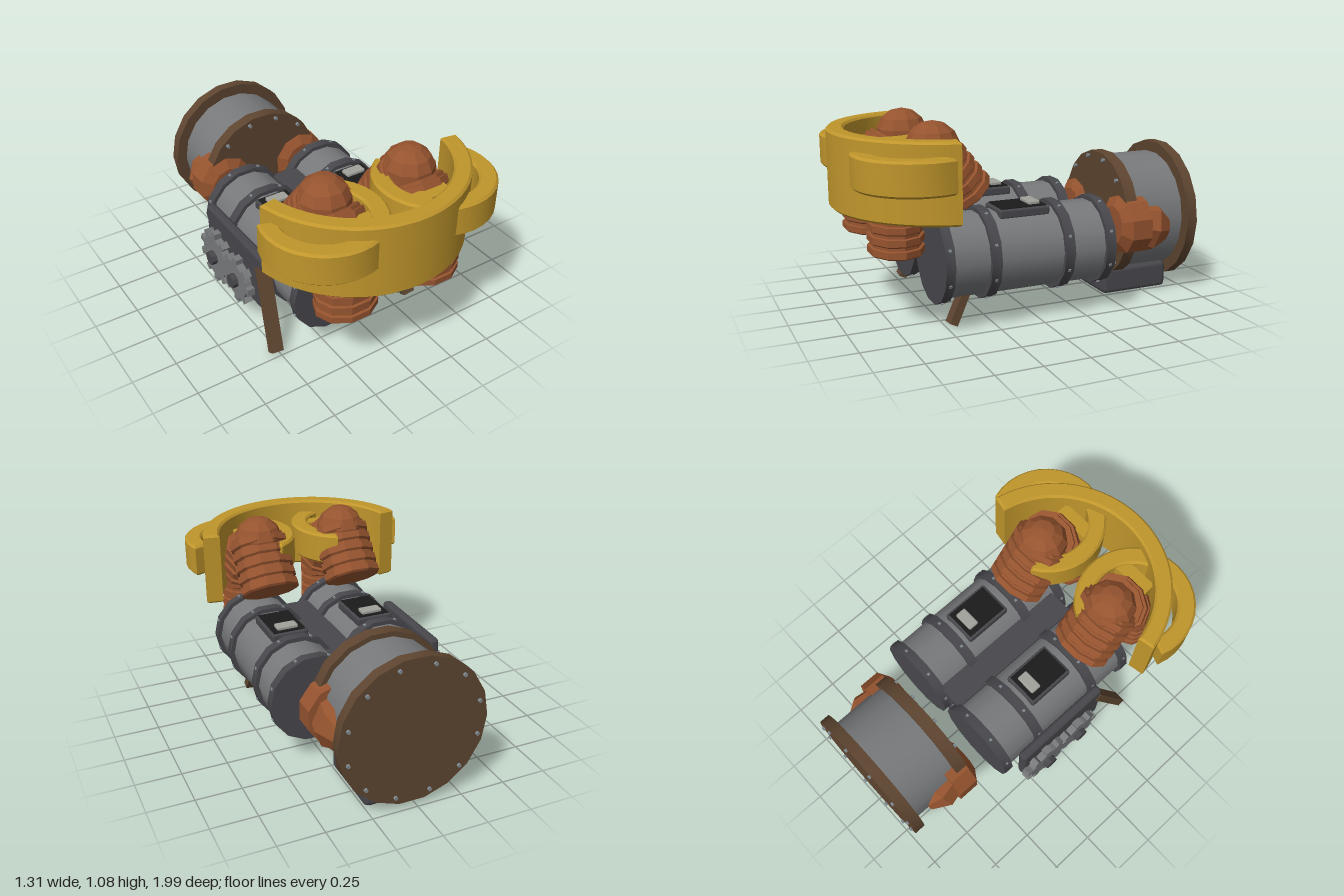
import * as THREE from 'three';
import { toCreasedNormals } from 'three/addons/utils/BufferGeometryUtils.js';
import { RoundedBoxGeometry } from 'three/addons/geometries/RoundedBoxGeometry.js';

const mat = (name, color) => Object.assign(new THREE.MeshStandardMaterial({ color }), { name });
const yellow = mat('yellow', 0xc0962c);
const copper = mat('copper', 0x96542f);
const steel = mat('steel', 0x77797b);
const dark = mat('darkIron', 0x48474c);
const brown = mat('brown', 0x5e4530);
const black = mat('black', 0x1b1b1c);
const pale = mat('paleGrey', 0xa2a29c);
const boltGrey = mat('boltGrey', 0x7f898f);

function add(parent, name, geo, material, x = 0, y = 0, z = 0) {
  const m = new THREE.Mesh(geo, material);
  m.name = name;
  m.position.set(x, y, z);
  parent.add(m);
  return m;
}

const crease = (geo, angle = 0.6) => toCreasedNormals(geo, angle);
const chamferBox = (w, h, d, c) => new RoundedBoxGeometry(w, h, d, 1, c);

// Cylinder lying along z between two depths
function cylZ(parent, name, r, z0, z1, sides, material, x, y) {
  const g = new THREE.CylinderGeometry(r, r, Math.abs(z1 - z0), sides);
  g.rotateY(Math.PI / sides).rotateX(Math.PI / 2);
  return add(parent, name, crease(g), material, x, y, (z0 + z1) / 2);
}

// Faceted lathe from [radius, height] pairs
const lathe = (pts, sides) =>
  crease(new THREE.LatheGeometry(pts.map(p => new THREE.Vector2(...p)), sides), 0.3);

// Ridged sleeve running from point a to point b
function bellows(parent, name, a, b, ridges) {
  const len = a.distanceTo(b), step = len / ridges, pts = [[0, 0]];
  for (let i = 0; i < ridges; i++) {
    const y = i * step;
    pts.push([0.16, y], [0.175, y + step * 0.15], [0.175, y + step * 0.7], [0.158, y + step * 0.75], [0.158, y + step]);
  }
  pts.push([0, len]);
  const g = lathe(pts, 10);
  g.rotateY(Math.PI / 2).scale(1, 1, 0.82);
  const m = add(parent, name, crease(g, 0.3), copper, a.x, a.y, a.z);
  m.quaternion.setFromUnitVectors(new THREE.Vector3(0, 1, 0), b.clone().sub(a).normalize());
}

// Flat horizontal band following an arc in the x-z plane
function arcBand(parent, name, rOut, rIn, a0, a1, yTop, height, segs, x, z) {
  const s = new THREE.Shape();
  s.absarc(0, 0, rOut, a0, a1, false);
  s.absarc(0, 0, rIn, a1, a0, true);
  s.closePath();
  const c = 0.012;
  const g = new THREE.ExtrudeGeometry(s, {
    depth: height - 2 * c, bevelThickness: c, bevelSize: c, bevelOffset: -c, bevelSegments: 1, curveSegments: segs,
  });
  g.rotateX(Math.PI / 2);
  return add(parent, name, crease(g, 0.5), yellow, x, yTop - c, z);
}

// Toothed wheel facing -x
function gear(parent, r, teeth, y, z) {
  const s = new THREE.Shape(), step = Math.PI * 2 / teeth;
  for (let i = 0; i < teeth; i++) {
    for (const [k, rad] of [[-0.5, 0.77], [-0.22, 0.77], [-0.2, 1], [0.2, 1], [0.22, 0.77]]) {
      const a = (i + k) * step - Math.PI / 2;
      const p = [Math.cos(a) * rad * r, Math.sin(a) * rad * r];
      if (s.curves.length || s.currentPoint.lengthSq()) s.lineTo(...p); else s.moveTo(...p);
    }
  }
  s.closePath();
  const g = new THREE.ExtrudeGeometry(s, { depth: 0.045, bevelEnabled: false });
  g.rotateY(-Math.PI / 2);
  add(parent, 'gear', g, steel, -0.498, y, z);
  const hub = new THREE.CylinderGeometry(0.04, 0.04, 0.08, 8);
  hub.rotateZ(Math.PI / 2);
  add(parent, 'gearHub', crease(hub), dark, -0.535, y, z);
}

// Square bar between two points
function bar(parent, name, a, b, w, d) {
  const m = add(parent, name, new THREE.BoxGeometry(w, a.distanceTo(b), d), brown);
  m.position.copy(a).add(b).multiplyScalar(0.5);
  m.quaternion.setFromUnitVectors(new THREE.Vector3(0, 1, 0), b.clone().sub(a).normalize());
}

const V = (x, y, z) => new THREE.Vector3(x, y, z);

export function createModel() {
  const root = new THREE.Group();
  root.name = 'machine';

  // Twin tanks with bands, studs and hatches
  for (const x of [-0.21, 0.30]) {
    const tank = new THREE.Group();
    tank.name = 'tank';
    root.add(tank);
    const y = 0.372;
    cylZ(tank, 'tankBody', 0.222, -0.39, 0.55, 14, steel, x, y);
    for (const [z0, z1] of [[0.51, 0.56], [0.26, 0.315], [-0.155, -0.1], [-0.4, -0.345]]) {
      cylZ(tank, 'tankBand', 0.245, z0, z1, 14, dark, x, y);
      for (let i = 0; i < 8; i++) {
        const a = (i + 0.5) * Math.PI / 4;
        add(tank, 'bandStud', new THREE.BoxGeometry(0.014, 0.014, 0.014), boltGrey,
          x + Math.cos(a) * 0.241, y + Math.sin(a) * 0.241, (z0 + z1) / 2).rotation.z = a;
      }
    }
    add(tank, 'hatchFrame', chamferBox(0.21, 0.05, 0.285, 0.012), dark, x, 0.583, 0.073);
    add(tank, 'hatchPanel', new THREE.BoxGeometry(0.18, 0.008, 0.255), black, x, 0.609, 0.073);
    add(tank, 'hatchHandle', chamferBox(0.12, 0.025, 0.065, 0.008), pale, x, 0.618, 0);
  }

  // Beam between the tanks
  add(root, 'centreBeam', new THREE.BoxGeometry(0.16, 0.29, 0.86), dark, 0.05, 0.365, 0.07);

  // Front legs
  bar(root, 'frontLeg', V(-0.52, 0.02, 0.475), V(-0.47, 0.44, 0.27), 0.07, 0.045);
  bar(root, 'frontLeg', V(0.365, 0.02, 0.475), V(0.34, 0.28, 0.35), 0.07, 0.045);

  // Side gearbox
  add(root, 'gearPlate', chamferBox(0.057, 0.345, 0.6, 0.02), dark, -0.472, 0.338, 0);
  gear(root, 0.145, 8, 0.255, 0.09);
  gear(root, 0.165, 10, 0.255, -0.15);

  // Rear drum
  const drum = new THREE.Group();
  drum.name = 'rearDrum';
  root.add(drum);
  const dx = 0.027, dy = 0.432;
  cylZ(drum, 'drumBody', 0.342, -0.95, -0.6, 18, steel, dx, dy);
  cylZ(drum, 'drumFrontPlate', 0.37, -0.625, -0.555, 18, brown, dx, dy);
  cylZ(drum, 'drumRearPlate', 0.405, -0.985, -0.925, 18, brown, dx, dy);
  for (let i = 0; i < 12; i++) {
    const a = (i + 0.5) * Math.PI / 6, c = Math.cos(a), s = Math.sin(a);
    cylZ(drum, 'rearBolt', 0.011, -0.998, -0.98, 6, boltGrey, dx + c * 0.365, dy + s * 0.365);
    cylZ(drum, 'frontBolt', 0.011, -0.56, -0.538, 6, boltGrey, dx + c * 0.34, dy + s * 0.34);
  }

  // Side pods on the drum
  for (const side of [-1, 1]) {
    const x = dx + side * 0.257;
    const front = lathe([[0, -0.06], [0.174, -0.06], [0.174, 0.06], [0.11, 0.1], [0, 0.1]], 10);
    front.rotateX(Math.PI / 2);
    add(drum, 'podCollar', front, copper, x, 0.425, -0.62);
    const rear = lathe([[0, -0.2], [0.08, -0.2], [0.15, -0.11], [0.14, 0], [0, 0]], 8);
    rear.rotateX(Math.PI / 2);
    add(drum, 'podEnd', rear, copper, x, 0.42, -0.65).rotation.set(-0.2, -side * 0.12, 0);
  }

  // Foot under the drum
  add(root, 'drumFoot', chamferBox(0.45, 0.155, 0.415, 0.028), dark, 0.025, 0.0775, -0.705);

  // Ridged elbows and their clamps
  for (const side of [-1, 1]) {
    const elbow = new THREE.Group();
    elbow.name = 'elbow';
    root.add(elbow);
    const x = side * 0.26;
    bellows(elbow, 'lowerSleeve', V(x, 0.41, 0.73), V(x, 0.72, 0.73), 5);
    bellows(elbow, 'rearSleeve', V(x, 0.68, 0.335), V(x, 0.94, 0.545), 5);
    bellows(elbow, 'frontSleeve', V(x, 0.66, 0.73), V(x, 0.9, 0.58), 4);
    add(elbow, 'elbowJoint', crease(new THREE.SphereGeometry(0.143, 10, 7), 0.3), copper, x, 0.932, 0.525);
    const a0 = -0.35, a1 = Math.PI * 4 / 3;
    const [s, e] = side > 0 ? [a0, a1] : [Math.PI - a1, Math.PI - a0];
    arcBand(elbow, 'clampRing', 0.322, 0.225, s, e, 0.945, 0.178, 12, side * 0.335, 0.64);
    add(elbow, 'clampBlock', new THREE.BoxGeometry(0.22, 0.14, 0.08), yellow, side * 0.225, 0.855, 0.75);
  }

  // Large front collar
  arcBand(root, 'frontCollar', 0.608, 0.515, 0.18, Math.PI - 0.18, 1.015, 0.415, 18, 0, 0.384);

  return root;
}
